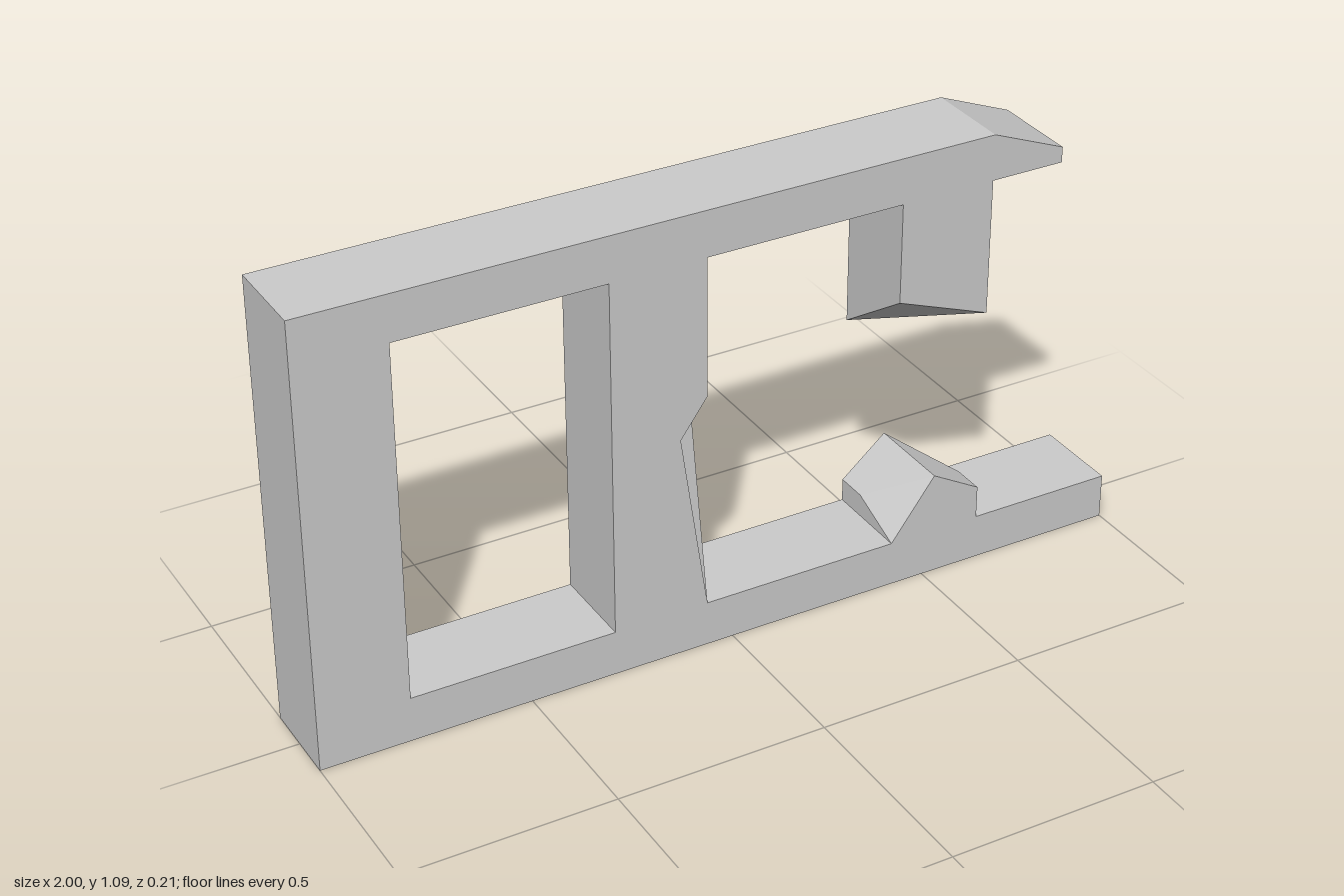
import * as THREE from 'three';

const F = 0.107, B = -0.107; // front and back planes
const BEAM = 0.11, LINTEL = 0.975; // top of the sill, underside of the lintel

const material = new THREE.MeshStandardMaterial({ color: 0xcccccc, flatShading: true });

// Flat-faced solid: named points, and faces as counter-clockwise name lists (fanned from the first)
function solid(name, points, faces) {
  const pos = [];
  for (const face of faces) {
    const n = face.split(' ');
    for (let i = 1; i < n.length - 1; i++) {
      pos.push(...points[n[0]], ...points[n[i]], ...points[n[i + 1]]);
    }
  }
  const g = new THREE.BufferGeometry();
  g.setAttribute('position', new THREE.Float32BufferAttribute(pos, 3));
  g.computeVertexNormals();
  const mesh = new THREE.Mesh(g, material);
  mesh.name = name;
  return mesh;
}

// Sill, left post and lintel with its broken end
function makeFrame() {
  const outline = [
    [-1, 0], [1, 0], [1, BEAM], [-0.785, BEAM], [-0.785, LINTEL],
    [0.825, LINTEL], [0.825, 1.012], [0.645, 1.085], [-1, 1.085],
  ].map(([x, y]) => new THREE.Vector2(x, y));
  const g = new THREE.ExtrudeGeometry(new THREE.Shape(outline), { depth: F - B, bevelEnabled: false });
  g.translate(0, 0, B);
  const mesh = new THREE.Mesh(g, material);
  mesh.name = 'frame';
  return mesh;
}

// Middle post with a chip knocked out of its front right edge
function makeMiddlePost() {
  const l = -0.295, r = -0.065;
  const p = {
    lf0: [l, BEAM, F], lf1: [l, LINTEL, F], lb0: [l, BEAM, B], lb1: [l, LINTEL, B],
    rf0: [r, BEAM, F], rf1: [r, LINTEL, F], rb0: [r, BEAM, B], rb1: [r, LINTEL, B],
    chipTop: [r, 0.64, F], chipFront: [-0.13, 0.55, F],
    chipSide: [r, 0.545, 0.038], chipDeep: [-0.112, 0.56, 0.045],
  };
  return solid('middlePost', p, [
    'lf1 lf0 rf0 chipFront chipTop rf1',
    'rb1 rf1 chipTop chipSide rf0 rb0',
    'rb0 lb0 lb1 rb1',
    'lb0 lf0 lf1 lb1',
    'chipFront rf0 chipDeep', 'rf0 chipSide chipDeep',
    'chipSide chipTop chipDeep', 'chipTop chipFront chipDeep',
  ]);
}

// Broken post hanging from the lintel
function makeUpperStub() {
  const l = 0.415, r = 0.645;
  const p = {
    lf0: [l, 0.735, F], rf0: [r, 0.648, F], rb0: [r, 0.648, B], lb0: [l, 0.588, B],
    lf1: [l, LINTEL, F], rf1: [r, LINTEL, F], rb1: [r, LINTEL, B], lb1: [l, LINTEL, B],
  };
  return solid('upperPostStub', p, [
    'lf0 rf0 rf1 lf1', 'rf0 rb0 rb1 rf1', 'rb0 lb0 lb1 rb1', 'lb0 lf0 lf1 lb1',
    'lf0 lb0 rf0', 'lb0 rb0 rf0',
  ]);
}

// Jagged remains of the same post on the sill
function makeLowerStub() {
  const l = 0.415, r = 0.645, x = 0.525, top = 0.258;
  const p = {
    lf: [l, BEAM, F], rf: [r, BEAM, F], rb: [r, BEAM, B], lb: [l, BEAM, B],
    rfUp: [r, 0.19, F], rMid: [r, 0.19, 0.03],
    lbUp: [l, 0.165, B], lMid: [l, 0.165, -0.03],
    ridgeF: [x, top, F], ridgeB: [x, top, B],
  };
  return solid('lowerPostStub', p, [
    'lf rf rfUp ridgeF', 'rf rb rMid rfUp', 'rb lb lbUp ridgeB', 'lb lf lMid lbUp',
    'ridgeF rfUp rMid ridgeB', 'ridgeB rMid rb',
    'ridgeB lbUp lMid ridgeF', 'ridgeF lMid lf',
  ]);
}

export function createModel() {
  const group = new THREE.Group();
  group.name = 'brokenFrame';
  group.add(makeFrame(), makeMiddlePost(), makeUpperStub(), makeLowerStub());
  return group;
}
